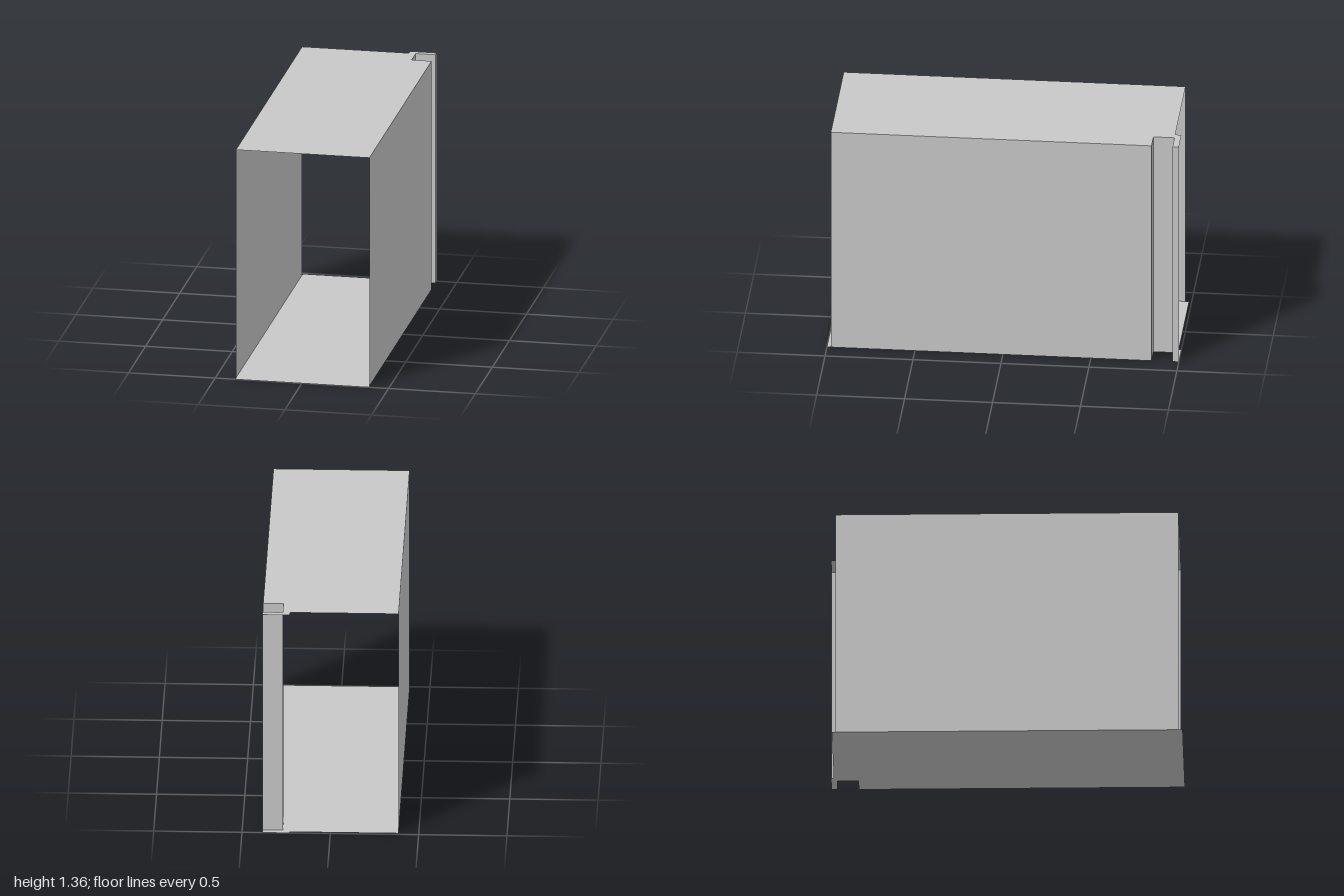
import * as THREE from 'three';

const H = 1.357;            // height of the sleeve
const W = 0.385;            // half width
const FRONT = 0.978, BACK = -0.965;
const NOTCH_X = 0.27, NOTCH_Z = -0.845, TAB_X = 0.23;

export function createModel() {
  const group = new THREE.Group();
  const metal = new THREE.MeshStandardMaterial({ color: 0xc8c8c8, side: THREE.DoubleSide });
  metal.name = 'sheet grey';

  const add = (name, geometry) => {
    const mesh = new THREE.Mesh(geometry, metal);
    mesh.name = name;
    group.add(mesh);
    return mesh;
  };

  // Upright sheet between two plan points [x, z], facing the right of its direction
  const wall = (name, [x0, z0], [x1, z1]) => {
    const g = new THREE.PlaneGeometry(Math.hypot(x1 - x0, z1 - z0), H);
    g.rotateY(Math.atan2(-(z1 - z0), x1 - x0));
    g.translate((x0 + x1) / 2, H / 2, (z0 + z1) / 2);
    return add(name, g);
  };

  // Level sheet from a plan outline of [x, z] points; flipped when it faces down
  const level = (name, y, outline, down = false) => {
    const shape = new THREE.Shape(outline.map(([x, z]) => new THREE.Vector2(x, -z)));
    const g = new THREE.ShapeGeometry(shape);
    g.rotateX(-Math.PI / 2);
    if (down) {
      g.index.array.reverse();
      g.computeVertexNormals();
    }
    g.translate(0, y, 0);
    return add(name, g);
  };

  // Floor and roof, notched at the back corner with a tab over the channel
  const plan = [
    [-W, FRONT], [W, FRONT], [W, NOTCH_Z], [NOTCH_X, NOTCH_Z], [NOTCH_X, BACK],
    [W, BACK], [W, -1], [TAB_X, -1], [TAB_X, BACK], [-W, BACK],
  ];
  level('floor', 0, plan, true);
  level('roof', H, plan);

  // Narrow lips continuing the floor at both open ends
  level('frontLip', 0, [[-W, FRONT], [-W, 1], [W, 1], [W, FRONT]], true);
  level('backLip', 0, [[-W, BACK], [TAB_X, BACK], [TAB_X, -0.985], [-W, -0.985]], true);

  // Plain left-hand side, then the right-hand side folded into a channel
  wall('plainSide', [-W, BACK], [-W, FRONT]);
  const fold = [[W, FRONT], [W, NOTCH_Z], [NOTCH_X, NOTCH_Z], [NOTCH_X, BACK], [W, BACK], [W, -1]];
  const names = ['foldedSide', 'channelFront', 'channelInner', 'channelBack', 'channelFlange'];
  names.forEach((name, i) => wall(name, fold[i], fold[i + 1]));

  return group;
}
